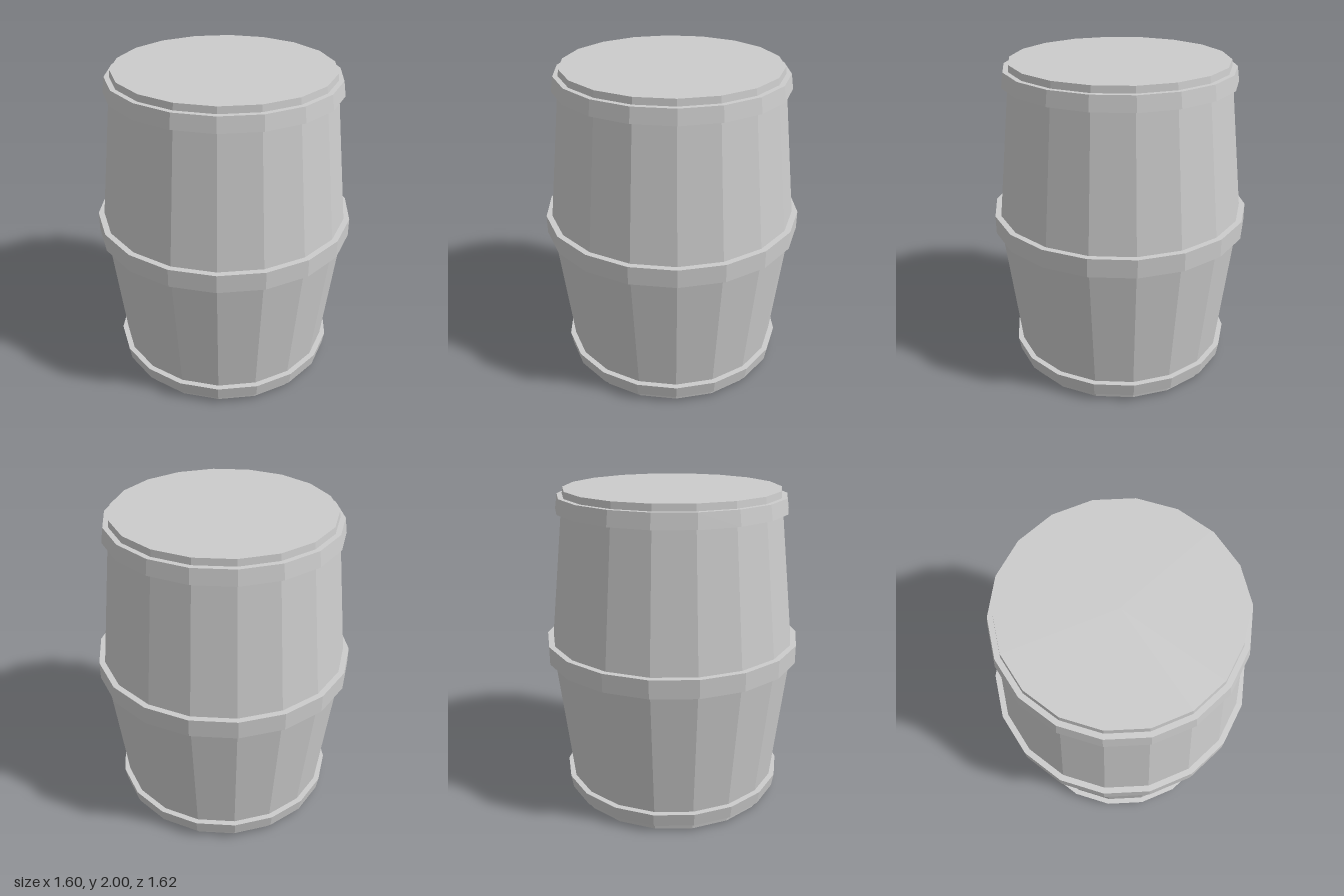
import * as THREE from 'three';

const SIDES = 18;
const material = new THREE.MeshStandardMaterial({ color: 0xcccccc, flatShading: true });

// Revolve a [radius, height] profile, listed from bottom to top
function turned(name, profile) {
  const points = profile.map(([r, y]) => new THREE.Vector2(r, y));
  const mesh = new THREE.Mesh(new THREE.LatheGeometry(points, SIDES), material);
  mesh.name = name;
  return mesh;
}

// Body radius at a given height: widest at the middle
const END = 0.67, BELLY = 0.782;
const bodyRadius = y => BELLY - (BELLY - END) * Math.abs(y - 1);

// Hoop with closed top and bottom rims, wrapped around the body
function hoop(name, y0, r0, y1, r1) {
  return turned(name, [
    [bodyRadius(y0) - 0.005, y0], [r0, y0], [r1, y1], [bodyRadius(y1) - 0.005, y1],
  ]);
}

export function createModel() {
  const barrel = new THREE.Group();
  barrel.name = 'barrel';
  barrel.add(
    // Staves with flat lids
    turned('body', [[0, 0], [END, 0], [BELLY, 1], [END, 2], [0, 2]]),
    // Metal hoops
    hoop('bottomHoop', 0.045, 0.706, 0.13, 0.72),
    hoop('middleHoop', 0.945, 0.812, 1.06, 0.812),
    hoop('topHoop', 1.87, 0.72, 1.96, 0.706),
  );
  return barrel;
}
